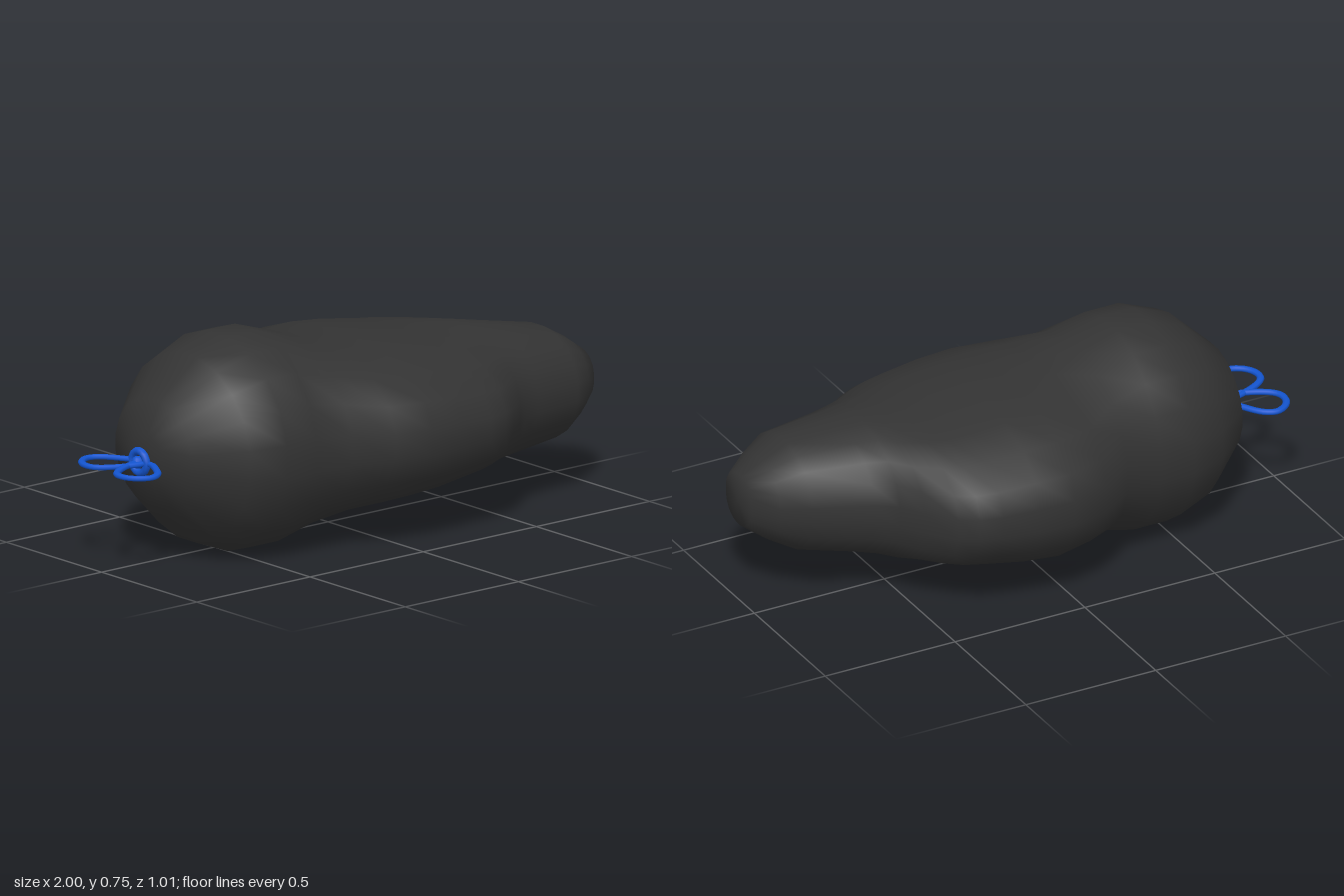
import * as THREE from 'three';

const CENTRE_Y = 0.375;
const SIDES = 20;

// Body stations along x: [x, back z, front z, half height, back fullness, front fullness]
const STATIONS = [
  [-0.81, -0.08, 0.08, 0.075, 2, 2],
  [-0.77, -0.2, 0.2, 0.19, 2, 2],
  [-0.63, -0.32, 0.34, 0.325, 2, 2],
  [-0.5, -0.36, 0.38, 0.375, 2, 2],
  [-0.37, -0.36, 0.38, 0.375, 2, 2],
  [-0.23, -0.38, 0.4, 0.33, 2, 2],
  [-0.1, -0.47, 0.475, 0.29, 2.3, 2.2],
  [0.04, -0.5, 0.5, 0.283, 2.6, 2.3],
  [0.17, -0.49, 0.5, 0.272, 2.6, 2.3],
  [0.3, -0.475, 0.5, 0.253, 2.5, 2.2],
  [0.38, -0.455, 0.48, 0.247, 2.4, 2.2],
  [0.44, -0.415, 0.45, 0.243, 2.3, 2.2],
  [0.52, -0.325, 0.39, 0.24, 2.2, 2.2],
  [0.57, -0.24, 0.36, 0.237, 2.2, 2.2],
  [0.64, -0.19, 0.343, 0.226, 2.2, 2.2],
  [0.83, -0.1, 0.325, 0.195, 2.2, 2.2],
  [0.92, -0.04, 0.275, 0.145, 2.2, 2.2],
  [0.99, 0.04, 0.22, 0.095, 2.2, 2.2],
];

// Lofted skin through superellipse sections, closed by a centre point at each end
function loftBody() {
  const pos = [], index = [];
  const fit = 1 / Math.cos(Math.PI / SIDES);
  for (const [x, back, front, h, nBack, nFront] of STATIONS) {
    const mid = (back + front) / 2, w = (front - back) / 2;
    for (let j = 0; j < SIDES; j++) {
      const a = ((j + 0.5) / SIDES) * Math.PI * 2;
      const c = Math.cos(a), s = Math.sin(a);
      const n = c < 0 ? nBack : nFront;
      const r = fit / Math.pow(Math.abs(c) ** n + Math.abs(s) ** n, 1 / n);
      pos.push(x, CENTRE_Y + h * r * s, mid + w * r * c);
    }
  }
  const rings = STATIONS.length;
  for (let i = 0; i < rings - 1; i++) {
    for (let j = 0; j < SIDES; j++) {
      const k = (j + 1) % SIDES;
      const a = i * SIDES + j, b = i * SIDES + k;
      const c = a + SIDES, d = b + SIDES;
      index.push(a, c, b, b, c, d);
    }
  }
  const tail = rings * SIDES, nose = tail + 1, last = (rings - 1) * SIDES;
  pos.push(-0.815, CENTRE_Y, 0, 1, CENTRE_Y, 0.12);
  for (let j = 0; j < SIDES; j++) {
    const k = (j + 1) % SIDES;
    index.push(tail, j, k, nose, last + k, last + j);
  }
  const geo = new THREE.BufferGeometry();
  geo.setAttribute('position', new THREE.Float32BufferAttribute(pos, 3));
  geo.setIndex(index);
  geo.computeVertexNormals();
  return geo;
}

export function createModel() {
  const model = new THREE.Group();
  const dark = new THREE.MeshStandardMaterial({ color: 0x333333 });
  const blue = new THREE.MeshStandardMaterial({ color: 0x1455d0 });
  const add = (name, geo, mat, parent) => {
    const mesh = new THREE.Mesh(geo, mat);
    mesh.name = name;
    parent.add(mesh);
    return mesh;
  };

  add('body', loftBody(), dark, model);

  // Tied string: a ring around the neck and two flat loops
  const bow = new THREE.Group();
  bow.name = 'bow';
  bow.position.set(-0.82, 0.352, 0);
  model.add(bow);

  const ring = add('knotRing', new THREE.TorusGeometry(0.038, 0.014, 8, 16), blue, bow);
  ring.rotation.y = Math.PI / 2;
  ring.position.z = -0.015;
  const knot = add('knot', new THREE.SphereGeometry(0.022, 10, 8), blue, bow);
  knot.position.set(-0.008, 0, -0.015);

  for (const side of [-1, 1]) {
    const outline = [
      [0, -0.01], [-0.08, 0.005], [-0.15, 0.045], [-0.168, 0.075], [-0.165, 0.115],
      [-0.14, 0.15], [-0.1, 0.168], [-0.06, 0.15], [-0.02, 0.095], [0.005, 0.04],
    ];
    const path = new THREE.CatmullRomCurve3(
      outline.map(([x, z]) => new THREE.Vector3(x, 0, z * side)), true);
    const loop = add(side < 0 ? 'backLoop' : 'frontLoop',
      new THREE.TubeGeometry(path, 40, 0.013, 8, true), blue, bow);
    loop.scale.y = 0.75;
  }
  return model;
}
